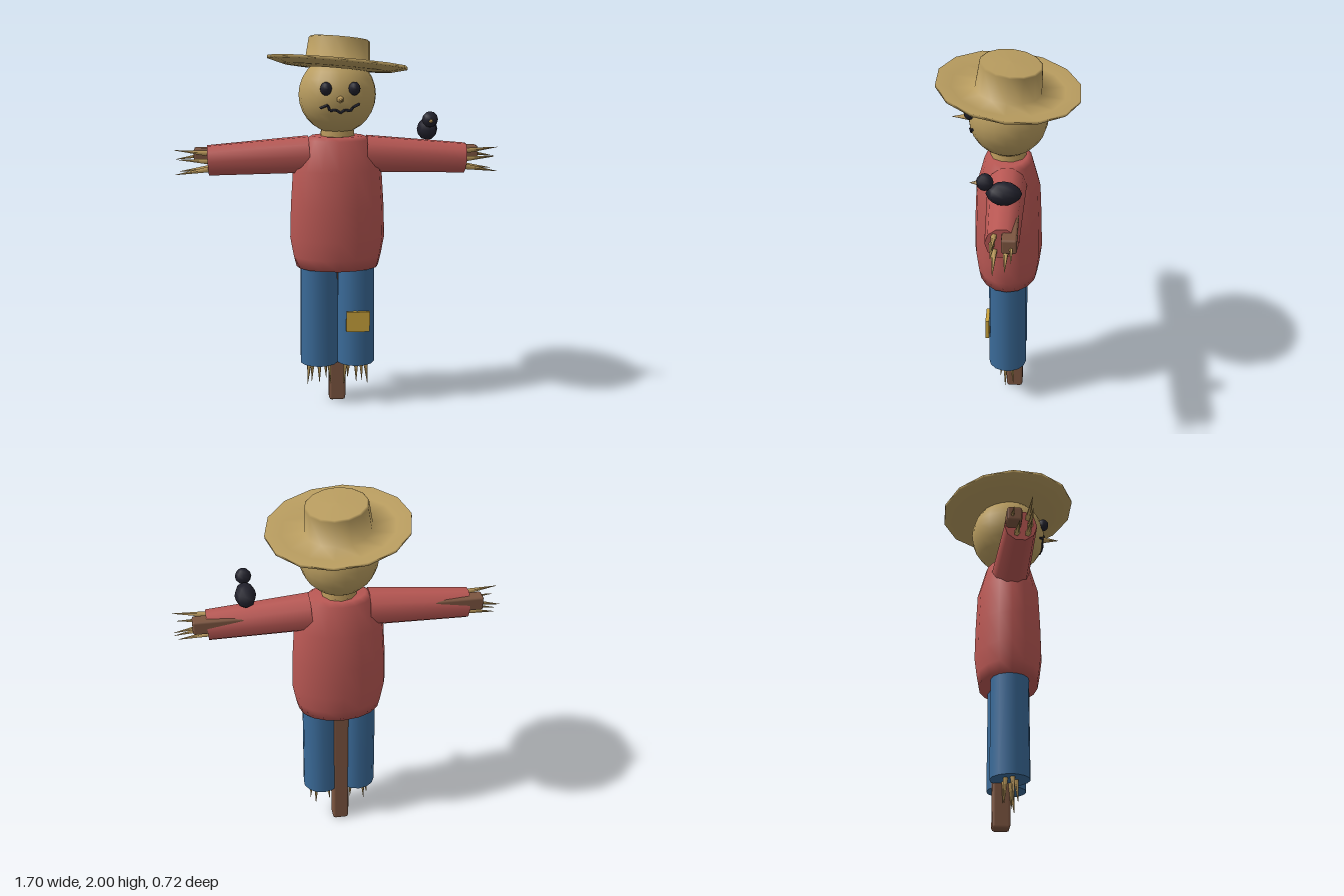
import * as THREE from 'three';
import { RoundedBoxGeometry } from 'three/addons/geometries/RoundedBoxGeometry.js';

const mat = (name, color) => {
  const m = new THREE.MeshStandardMaterial({ color });
  m.name = name;
  return m;
};

export function createModel() {
  const burlap = mat('burlap', 0xb89c5f);
  const straw = mat('straw', 0xb8975a);
  const shirt = mat('red shirt', 0xb85753);
  const denim = mat('blue denim', 0x3a6a98);
  const wood = mat('brown wood', 0x7c5540);
  const black = mat('black', 0x20202b);
  const gold = mat('gold patch', 0xc9a23c);

  const model = new THREE.Group();
  model.name = 'scarecrow';
  const V = (x, y, z) => new THREE.Vector3(x, y, z);

  const add = (name, geometry, material, x = 0, y = 0, z = 0, parent = model) => {
    const m = new THREE.Mesh(geometry, material);
    m.name = name;
    m.position.set(x, y, z);
    parent.add(m);
    return m;
  };

  // Tapered rod running from point a to point b
  const rod = (name, material, a, b, ra, rb, sides) => {
    const dir = b.clone().sub(a);
    const mid = a.clone().add(b).multiplyScalar(0.5);
    const m = add(name, new THREE.CylinderGeometry(rb, ra, dir.length(), sides), material, mid.x, mid.y, mid.z);
    m.quaternion.setFromUnitVectors(V(0, 1, 0), dir.normalize());
    return m;
  };
  const lathe = (pts, sides) =>
    new THREE.LatheGeometry(pts.map(p => new THREE.Vector2(...p)), sides);

  // Wooden cross
  add('pole', new RoundedBoxGeometry(0.09, 1.5, 0.09, 1, 0.015), wood, 0, 0.75, -0.037);
  add('crossbar', new RoundedBoxGeometry(1.51, 0.075, 0.075, 1, 0.012), wood, 0, 1.375, -0.037);

  // Shirt body, flattened front to back
  const body = add('shirtBody', lathe([
    [0, 0.77], [0.22, 0.77], [0.235, 0.83], [0.253, 0.93], [0.248, 1.1],
    [0.235, 1.3], [0.175, 1.455], [0.14, 1.475], [0, 1.48],
  ], 16), shirt);
  body.scale.z = 0.71;

  // Sleeves, legs and straw on both sides
  for (const s of [1, -1]) {
    rod('sleeve', shirt, V(s * 0.15, 1.378, 0), V(s * 0.68, 1.35, 0), 0.1, 0.081, 10);
    add('trouserLeg', new THREE.CylinderGeometry(0.1, 0.103, 0.58, 14), denim, s * 0.1, 0.52, 0);

    // Straw hands: base y, base z, tip y, tip z
    const hand = [
      [1.39, 0.035, 1.41, 0.04], [1.35, 0.045, 1.36, 0.045], [1.31, 0.035, 1.28, 0.035],
      [1.31, -0.02, 1.29, -0.02], [1.38, -0.045, 1.35, -0.05],
    ];
    hand.forEach(([y, z, ty, tz], i) =>
      rod('handStraw', straw, V(s * 0.66, y, z), V(s * (0.85 - (i % 2) * 0.02), ty, tz), 0.017, 0.001, 5));

    // Straw below each trouser leg
    for (let i = 0; i < 5; i++) {
      const a = i * Math.PI * 0.4 + 0.3;
      const c = Math.cos(a), d = Math.sin(a);
      rod('legStraw', straw, V(s * (0.1 + c * 0.055), 0.25, d * 0.03),
        V(s * (0.1 + c * 0.068), 0.1 + (i % 2) * 0.02, d * 0.04), 0.016, 0.001, 5);
    }
  }
  add('kneePatch', new THREE.BoxGeometry(0.125, 0.11, 0.02), gold, 0.103, 0.483, 0.109);

  // Neck and head
  add('neck', new THREE.CylinderGeometry(0.085, 0.095, 0.08, 10), straw, 0, 1.495, 0);
  add('head', new THREE.SphereGeometry(0.203, 20, 14), burlap, 0, 1.69, 0);
  for (const s of [1, -1]) {
    const eye = add('eye', new THREE.SphereGeometry(0.03, 10, 8), black, s * 0.072, 1.735, 0.19);
    eye.scale.y = 1.15;
  }
  rod('nose', straw, V(0, 1.682, 0.185), V(0, 1.682, 0.285), 0.022, 0.001, 6);

  // Zigzag stitched mouth following the face
  const stitches = [[-0.1, 1.636], [-0.064, 1.653], [-0.052, 1.625], [-0.022, 1.627], [0, 1.613],
    [0.022, 1.627], [0.052, 1.622], [0.064, 1.64], [0.1, 1.655]]
    .map(([x, y]) => V(x, y, Math.sqrt(0.0412 - x * x - (y - 1.69) ** 2)));
  for (let i = 0; i < stitches.length - 1; i++)
    rod('mouthStitch', black, stitches[i], stitches[i + 1], 0.007, 0.007, 5);

  // Tilted straw hat with a shallow dished brim
  const hat = add('hat', lathe([
    [0, 0], [0.17, -0.015], [0.29, -0.008], [0.368, 0.012], [0.368, 0.028],
    [0.29, 0.012], [0.172, 0.008], [0.16, 0.14], [0.15, 0.147], [0, 0.152],
  ], 14), burlap, 0, 1.835, 0);
  hat.rotation.set(-0.1, 0, -0.09);
  hat.geometry.rotateY(Math.PI / 2);

  // Crow on the left sleeve
  const crow = new THREE.Group();
  crow.name = 'crow';
  crow.position.set(0.477, 1.505, 0);
  model.add(crow);
  const crowBody = add('crowBody', new THREE.SphereGeometry(0.058, 8, 6), black, 0, 0, 0, crow);
  crowBody.scale.set(0.95, 1, 1.5);
  add('crowHead', new THREE.SphereGeometry(0.042, 8, 6), black, 0, 0.06, 0.09, crow);
  const beak = add('crowBeak', new THREE.ConeGeometry(0.014, 0.045, 5), straw, 0, 0.055, 0.142, crow);
  beak.rotation.x = Math.PI / 2;

  return model;
}
